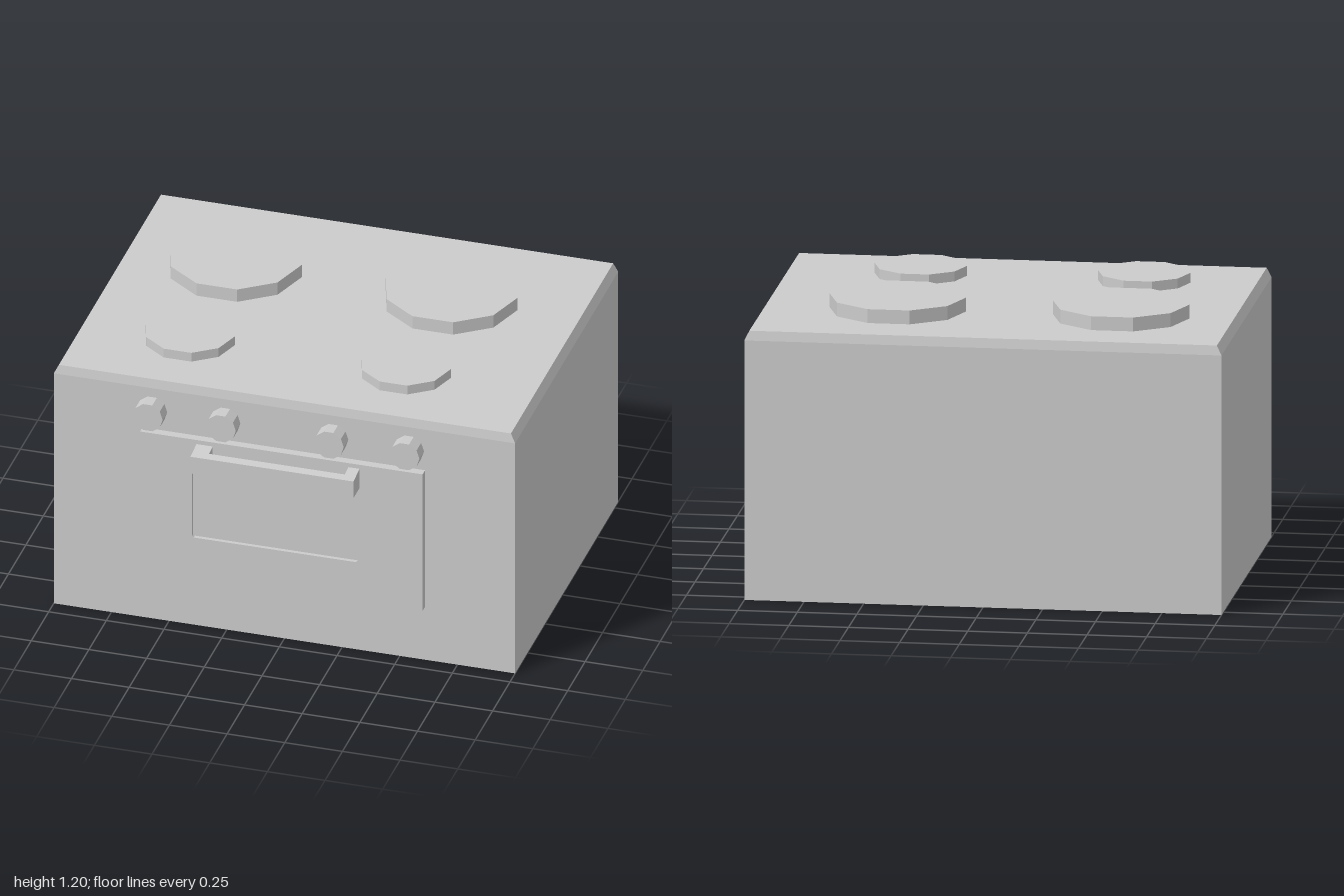
import * as THREE from 'three';

const material = new THREE.MeshStandardMaterial({ color: 0xcccccc, flatShading: true });

function part(name, geometry, x = 0, y = 0, z = 0) {
  const mesh = new THREE.Mesh(geometry, material);
  mesh.name = name;
  mesh.position.set(x, y, z);
  return mesh;
}

// Ten-sided disc with corners pointing along x
function disc(radius, height) {
  return new THREE.CylinderGeometry(radius, radius, height, 10).rotateY(Math.PI / 2);
}

function polygon(points) {
  return new THREE.Shape(points.map(([x, y]) => new THREE.Vector2(x, y)));
}

// Box whose top edge is bevelled: steep at the sides, slight at front and back
function bodyGeometry() {
  const geometry = new THREE.BoxGeometry(2, 1.145, 1.48, 1, 2, 1);
  const p = geometry.attributes.position;
  for (let i = 0; i < p.count; i++) {
    const y = p.getY(i);
    if (y > 0.5) p.setXYZ(i, p.getX(i) * 0.98, y, p.getZ(i) * 0.991);
    else if (y > -0.1) p.setY(i, 0.532);
  }
  geometry.computeVertexNormals();
  return geometry;
}

// Door panel with a window opening whose corners are clipped
function doorGeometry() {
  const shape = polygon([[-0.615, 0.255], [0.61, 0.255], [0.61, 0.91], [-0.615, 0.91]]);
  const [l, r, b, t, c] = [-0.39, 0.327, 0.44, 0.778, 0.007];
  shape.holes.push(polygon([
    [l + c, b], [l, b + c], [l, t - c], [l + c, t],
    [r - c, t], [r, t - c], [r, b + c], [r - c, b],
  ]));
  return new THREE.ExtrudeGeometry(shape, { depth: 0.04, bevelEnabled: false });
}

// U-shaped handle drawn in plan, with its top rising toward the door
function handleGeometry() {
  const shape = polygon([
    [-0.37, -0.71], [-0.37, -0.803], [0.337, -0.803], [0.337, -0.71],
    [0.288, -0.71], [0.288, -0.765], [-0.3, -0.765], [-0.3, -0.71],
  ]);
  const geometry = new THREE.ExtrudeGeometry(shape, { depth: 0.08, bevelEnabled: false });
  geometry.rotateX(-Math.PI / 2);
  const p = geometry.attributes.position;
  for (let i = 0; i < p.count; i++) {
    if (p.getY(i) > 0.04) p.setY(i, 0.08 + (0.803 - p.getZ(i)) * 0.12);
  }
  geometry.computeVertexNormals();
  return geometry;
}

export function createModel() {
  const model = new THREE.Group();
  model.name = 'stove';

  model.add(part('body', bodyGeometry(), 0, 0.5725, -0.063));

  // Hot plates: large at the back, small at the front
  const plates = new THREE.Group();
  plates.name = 'hotPlates';
  for (const [x, z, radius, y, height] of [
    [-0.51, -0.313, 0.286, 1.174, 0.06],
    [0.426, -0.313, 0.286, 1.174, 0.06],
    [-0.517, 0.315, 0.194, 1.174, 0.042],
    [0.419, 0.315, 0.194, 1.174, 0.042],
  ]) plates.add(part('hotPlate', disc(radius, height), x, y, z));
  model.add(plates);

  // Control knobs
  const knobs = new THREE.Group();
  knobs.name = 'knobs';
  for (const x of [-0.573, -0.256, 0.212, 0.54]) {
    knobs.add(part('knob', disc(0.065, 0.07).rotateX(Math.PI / 2), x, 1, 0.708));
  }
  model.add(knobs);

  // Oven door with recessed window and handle
  const door = new THREE.Group();
  door.name = 'ovenDoor';
  door.add(part('doorPanel', doorGeometry(), 0, 0, 0.673));
  door.add(part('window', new THREE.BoxGeometry(0.73, 0.35, 0.025), -0.03, 0.609, 0.684));
  door.add(part('handle', handleGeometry(), 0, 0.8, 0));
  model.add(door);

  return model;
}
